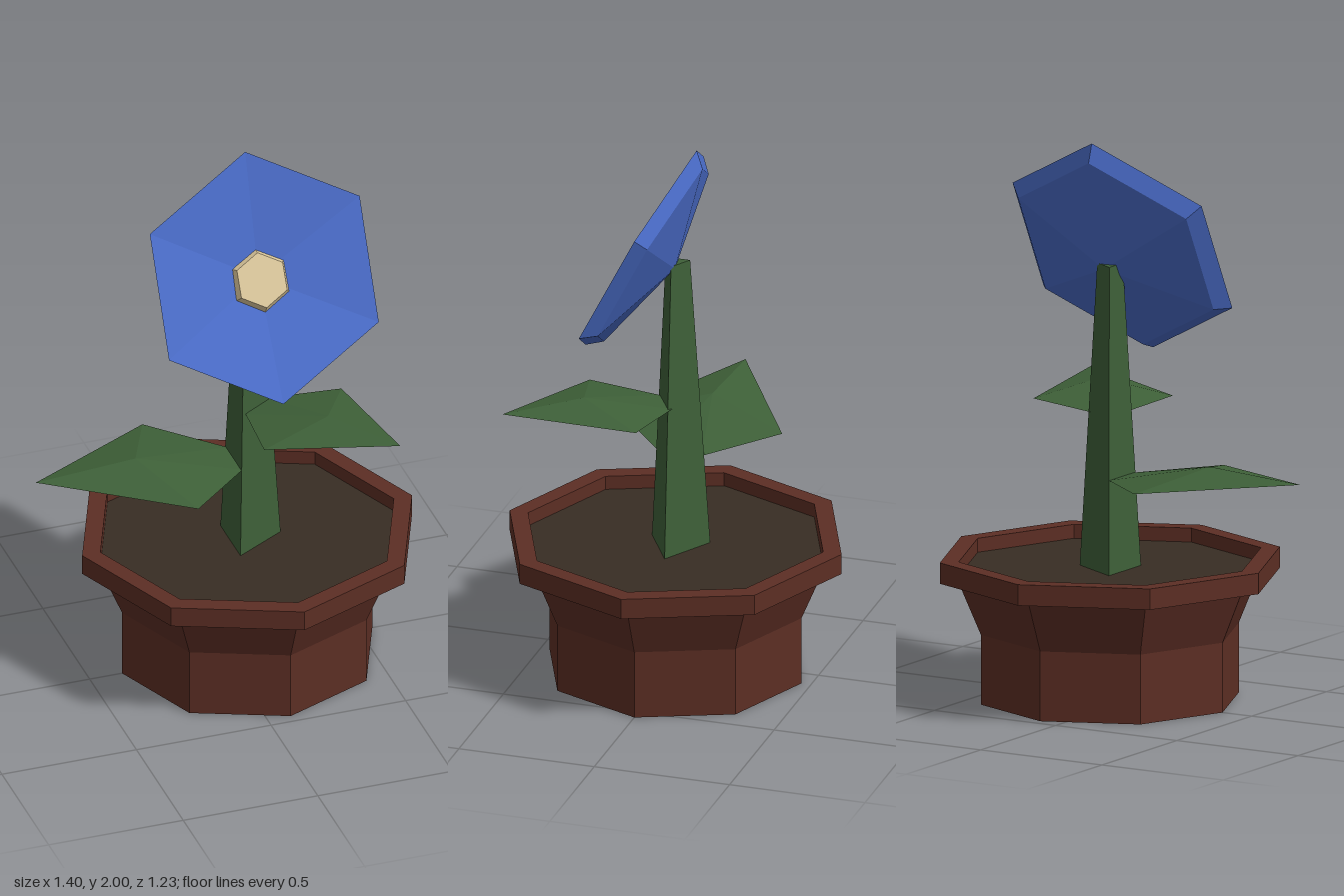
import * as THREE from 'three';

const mat = (name, color, side = THREE.FrontSide) => {
  const m = new THREE.MeshStandardMaterial({ color, side, flatShading: true });
  m.name = name;
  return m;
};

export function createModel() {
  const clay = mat('clay', 0x5c2e24);
  const earth = mat('earth', 0x382d23);
  const green = mat('green', 0x3e6038, THREE.DoubleSide);
  const blue = mat('blue', 0x4a6cc8);
  const cream = mat('cream', 0xd9c59a);

  const model = new THREE.Group();
  const add = (name, geometry, material, x, y, z) => {
    const mesh = new THREE.Mesh(geometry, material);
    mesh.name = name;
    mesh.position.set(x, y, z);
    model.add(mesh);
    return mesh;
  };
  const lathe = (profile, sides) =>
    new THREE.LatheGeometry(profile.map(([r, y]) => new THREE.Vector2(r, y)), sides);

  const cx = 0.085; // shared axis of pot and stem

  // Eight-sided pot with a stepped rim, filled with soil
  add('pot', lathe([[0, 0], [0.465, 0], [0.465, 0.25], [0.545, 0.44], [0.613, 0.44],
    [0.613, 0.515], [0.545, 0.515], [0.545, 0.44]], 8), clay, cx, 0, 0);
  add('soil', lathe([[0.545, 0.465], [0, 0.465]], 8), earth, cx, 0, 0);

  // Tapering three-sided stem
  const stem = add('stem', new THREE.CylinderGeometry(0.052, 0.124, 1.09, 3), green, cx, 1.01, 0);
  stem.rotation.y = Math.PI / 2;

  // Folded leaf pointing along +x, with a raised point on the ridge
  const leafGeometry = () => {
    const tip = [0.785, 0.05, 0], ridge = [0.415, 0.075, 0];
    const outline = [tip, [0.285, 0.015, -0.3], [0.045, 0, -0.08], [0.045, 0, 0.08], [0.285, 0.015, 0.3]];
    const points = [];
    outline.forEach((p, i) => points.push(...ridge, ...p, ...outline[(i + 1) % outline.length]));
    const g = new THREE.BufferGeometry();
    g.setAttribute('position', new THREE.Float32BufferAttribute(points, 3));
    g.computeVertexNormals();
    return g;
  };
  const rightLeaf = add('rightLeaf', leafGeometry(), green, cx, 0.8, 0);
  rightLeaf.rotation.y = Math.PI;
  const frontLeaf = add('frontLeaf', leafGeometry(), green, cx, 1.02, 0);
  frontLeaf.rotation.y = -Math.atan2(0.51, 0.39);
  frontLeaf.scale.setScalar(0.82);

  // Six-sided flower cup tilted forwards, with a bevelled centre
  const flower = add('flower', lathe([[0, -0.14], [0.4, -0.05], [0.45, 0], [0, -0.07]], 6),
    blue, 0.107, 1.6, 0.12);
  flower.rotation.x = 1.098;
  const centre = add('flowerCentre', new THREE.CylinderGeometry(0.098, 0.125, 0.045, 6),
    cream, 0.107, 1.566, 0.077);
  centre.rotation.x = 1.04;

  return model;
}
